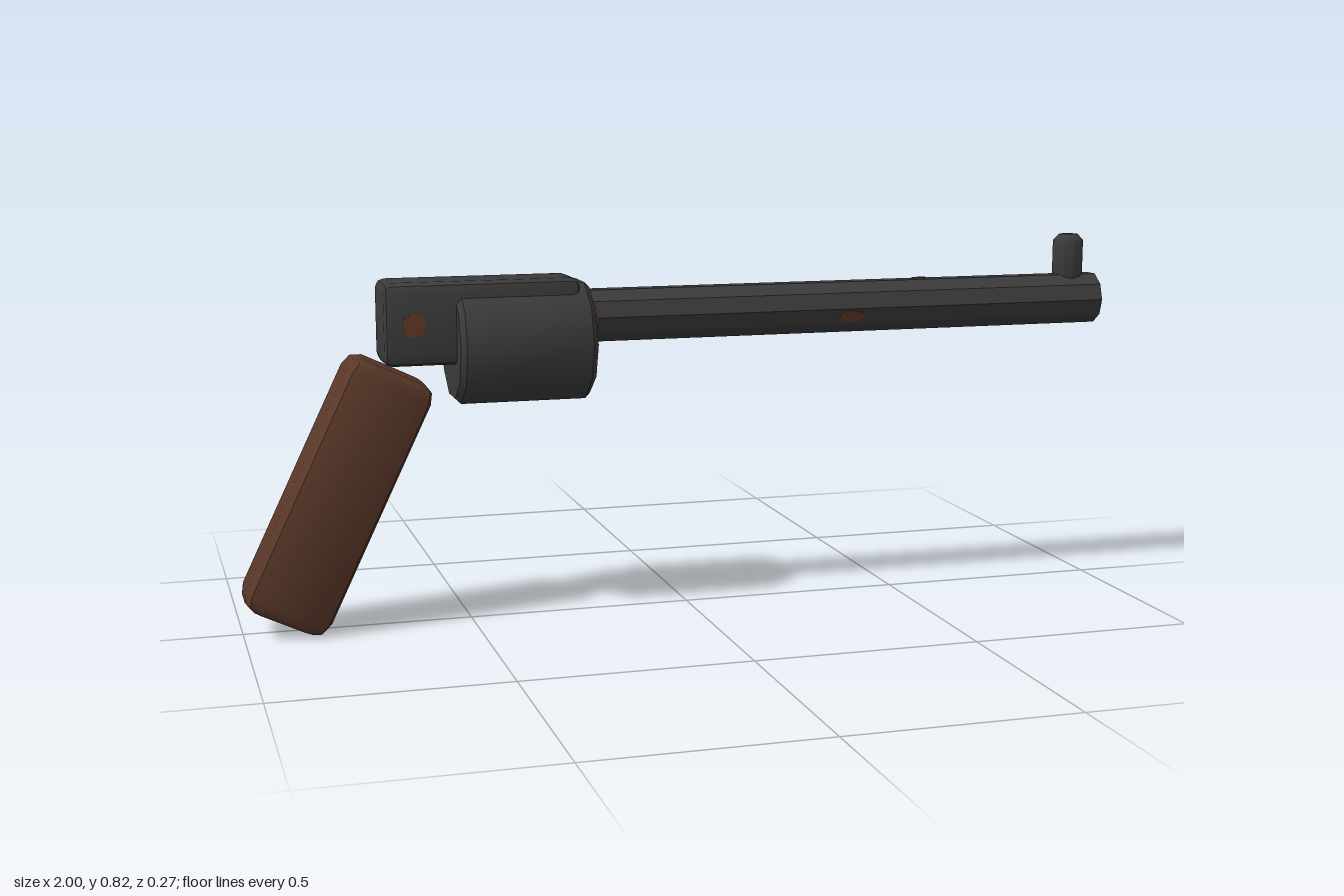
import * as THREE from 'three';
import { toCreasedNormals } from 'three/addons/utils/BufferGeometryUtils.js';

const mat = (name, color) => Object.assign(new THREE.MeshStandardMaterial({ color }), { name });

// Box with softened edges, extruded along its local z and centred
function bevelBox(w, h, len, r, b) {
  const x = w / 2, y = h / 2, s = new THREE.Shape();
  s.moveTo(-x + r, -y).lineTo(x - r, -y).quadraticCurveTo(x, -y, x, -y + r);
  s.lineTo(x, y - r).quadraticCurveTo(x, y, x - r, y);
  s.lineTo(-x + r, y).quadraticCurveTo(-x, y, -x, y - r);
  s.lineTo(-x, -y + r).quadraticCurveTo(-x, -y, -x + r, -y);
  const g = new THREE.ExtrudeGeometry(s, {
    depth: len - 2 * b, curveSegments: 2, bevelSegments: 2,
    bevelThickness: b, bevelSize: b * 0.8, bevelOffset: -b * 0.8,
  });
  g.translate(0, 0, b - len / 2);
  return g;
}

// Turned solid with chamfered rims, ten sides, standing on local y
function drumGeometry(radius, len, c) {
  const h = len / 2;
  const pts = [[0, -h], [radius - c, -h], [radius, -h + c], [radius, h - c], [radius - c, h], [0, h]];
  return new THREE.LatheGeometry(pts.map(([a, b]) => new THREE.Vector2(a, b)), 10);
}

export function createModel() {
  const model = new THREE.Group();
  model.name = 'revolver';
  const metal = mat('gunmetal', 0x3b3b3b);
  const barrelMetal = mat('barrelGunmetal', 0x3b3b3b);
  barrelMetal.flatShading = true;
  const wood = mat('wood', 0x5a3829);
  const rust = mat('rust', 0x633a27);

  const add = (name, geometry, material, x, y, z) => {
    const mesh = new THREE.Mesh(geometry, material);
    mesh.name = name;
    mesh.position.set(x, y, z);
    model.add(mesh);
    return mesh;
  };

  // Ten-sided barrel
  const barrelY = 0.675, barrelR = 0.06;
  add('barrel', new THREE.CylinderGeometry(barrelR, barrelR, 1.3, 10).rotateZ(-Math.PI / 2),
    barrelMetal, 0.35, barrelY, 0);

  // Drum with narrow chamfers
  add('drum', toCreasedNormals(drumGeometry(0.135, 0.3, 0.012).rotateZ(-Math.PI / 2), 0.66),
    metal, -0.383, 0.625, 0);

  // Frame block
  add('frame', toCreasedNormals(bevelBox(0.148, 0.18, 0.428, 0.025, 0.018).rotateY(Math.PI / 2), 0.7),
    metal, -0.473, 0.675, 0);

  // Front sight post
  const sight = add('frontSight', toCreasedNormals(drumGeometry(0.036, 0.13, 0.014), 0.9),
    metal, 0.937, 0.761, 0);
  sight.scale.z = 0.85;

  // Raked grip
  const grip = add('grip', toCreasedNormals(bevelBox(0.2, 0.172, 0.592, 0.045, 0.035).rotateX(-Math.PI / 2), 0.8),
    wood, -0.79, 0.305, 0);
  grip.rotation.z = -0.447;

  // Rust marks on the frame sides and the drum face
  const spot = (r) => new THREE.CylinderGeometry(r, r, 0.004, 9).rotateX(Math.PI / 2);
  for (const s of [1, -1]) add('frameRust', spot(0.026), rust, -0.625, 0.675, s * 0.0735);
  add('drumRust', spot(0.027).rotateY(Math.PI / 2), rust, -0.233, 0.677, 0.087);

  // Rust marks lying on barrel facets: x, facet angle above +z, offset across facet, length, width
  const apothem = barrelR * Math.cos(Math.PI / 10);
  const marks = [
    [0.375, -18, 0, 0.06, 0.03], [0.38, 198, 0, 0.05, 0.028],
    [0.565, 90, 0.011, 0.035, 0.014], [0.56, 126, -0.009, 0.035, 0.016],
  ];
  for (const [x, deg, offset, len, width] of marks) {
    const a = THREE.MathUtils.degToRad(deg);
    const mark = add('barrelRust', spot(0.5).scale(len, width, 1), rust, x,
      barrelY + apothem * Math.sin(a) + offset * Math.cos(a),
      apothem * Math.cos(a) - offset * Math.sin(a));
    mark.rotation.x = -a;
  }
  return model;
}
